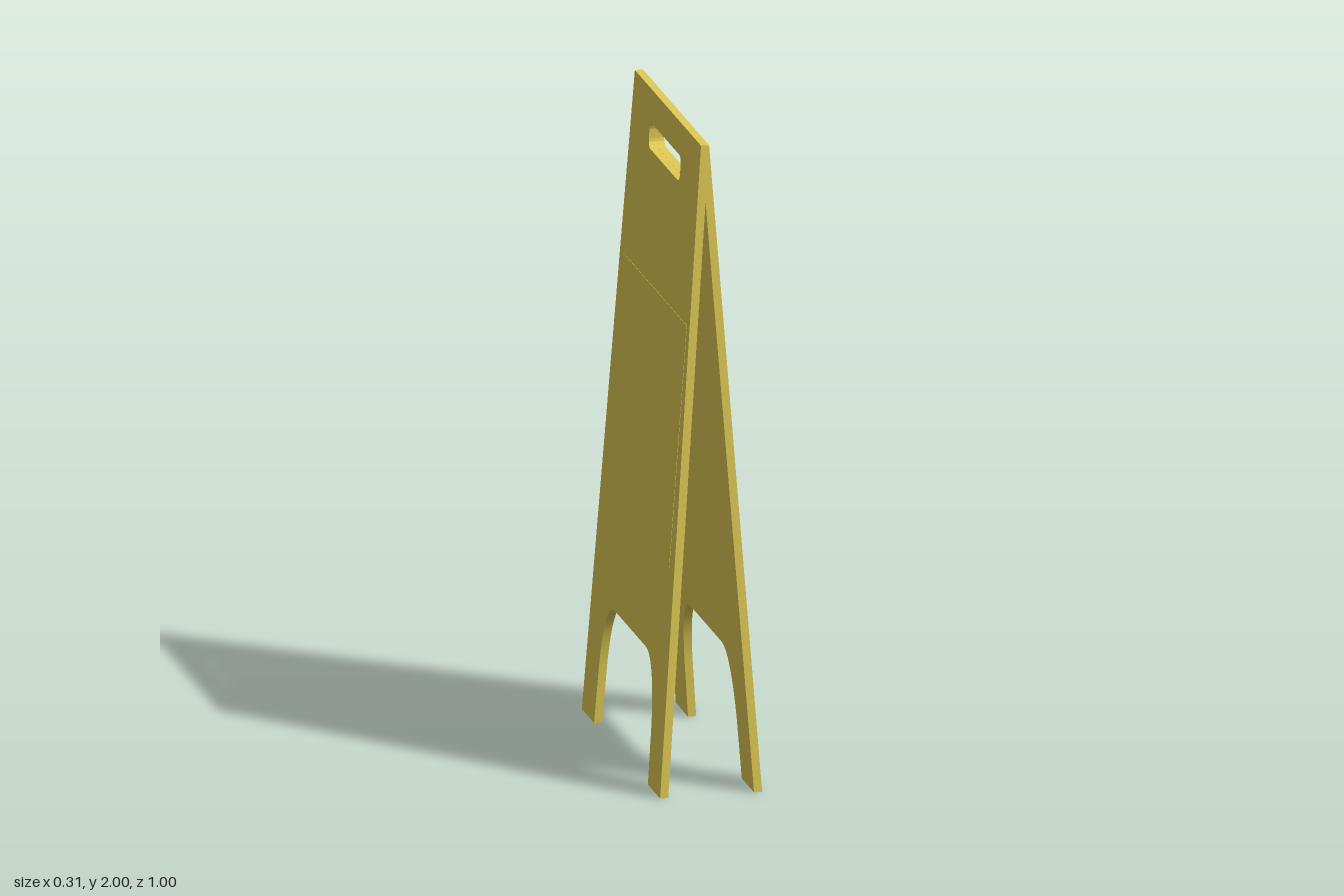
import * as THREE from 'three';
import { toCreasedNormals } from 'three/addons/utils/BufferGeometryUtils.js';

const HEIGHT = 2, THICK = 0.025, FOOT_X = 0.132, TOP_X = -0.0125;
const yellow = new THREE.MeshStandardMaterial({ color: 0xe2cc55 });

// Lean a standing board outwards: its inner face runs from FOOT_X to TOP_X
function lean(geometry) {
  const p = geometry.attributes.position;
  for (let i = 0; i < p.count; i++) {
    p.setX(i, p.getX(i) + THREE.MathUtils.lerp(FOOT_X, TOP_X, p.getY(i) / HEIGHT));
  }
  return toCreasedNormals(geometry, 0.5);
}

// Tapered board with an arch between two feet and a rounded hand slot
function boardGeometry() {
  const s = new THREE.Shape();
  s.moveTo(-0.502, 0);
  s.lineTo(-0.345, 0);
  s.lineTo(-0.336, 0.18);
  s.bezierCurveTo(-0.325, 0.3, -0.28, 0.388, -0.2, 0.388);
  s.lineTo(0.2, 0.388);
  s.bezierCurveTo(0.28, 0.388, 0.325, 0.3, 0.336, 0.18);
  s.lineTo(0.345, 0);
  s.lineTo(0.502, 0);
  s.lineTo(0.424, HEIGHT);
  s.lineTo(-0.424, HEIGHT);
  s.closePath();

  const w = 0.2, y0 = 1.825, y1 = 1.903, r = 0.026;
  const slot = new THREE.Path();
  slot.absarc(w - r, y1 - r, r, 0, Math.PI / 2);
  slot.absarc(-w + r, y1 - r, r, Math.PI / 2, Math.PI);
  slot.absarc(-w + r, y0 + r, r, Math.PI, Math.PI * 1.5);
  slot.absarc(w - r, y0 + r, r, Math.PI * 1.5, Math.PI * 2);
  slot.closePath();
  s.holes.push(slot);

  const g = new THREE.ExtrudeGeometry(s, { depth: THICK, bevelEnabled: false, curveSegments: 14 });
  return lean(g.rotateY(Math.PI / 2));
}

export function createModel() {
  const model = new THREE.Group();
  model.name = 'foldingFloorSign';

  // Two boards leaning against each other
  const geometry = boardGeometry();
  ['leftBoard', 'rightBoard'].forEach((name, i) => {
    const board = new THREE.Mesh(geometry, yellow);
    board.name = name;
    board.rotation.y = i * Math.PI;
    model.add(board);
  });

  // Thin blank notice panel on the outside of the right board
  const notice = new THREE.BoxGeometry(0.004, 0.75, 0.814);
  notice.translate(THICK - 0.001, 1.065, -0.006);
  const panel = new THREE.Mesh(lean(notice), yellow);
  panel.name = 'noticePanel';
  panel.rotation.y = Math.PI;
  model.add(panel);

  return model;
}
